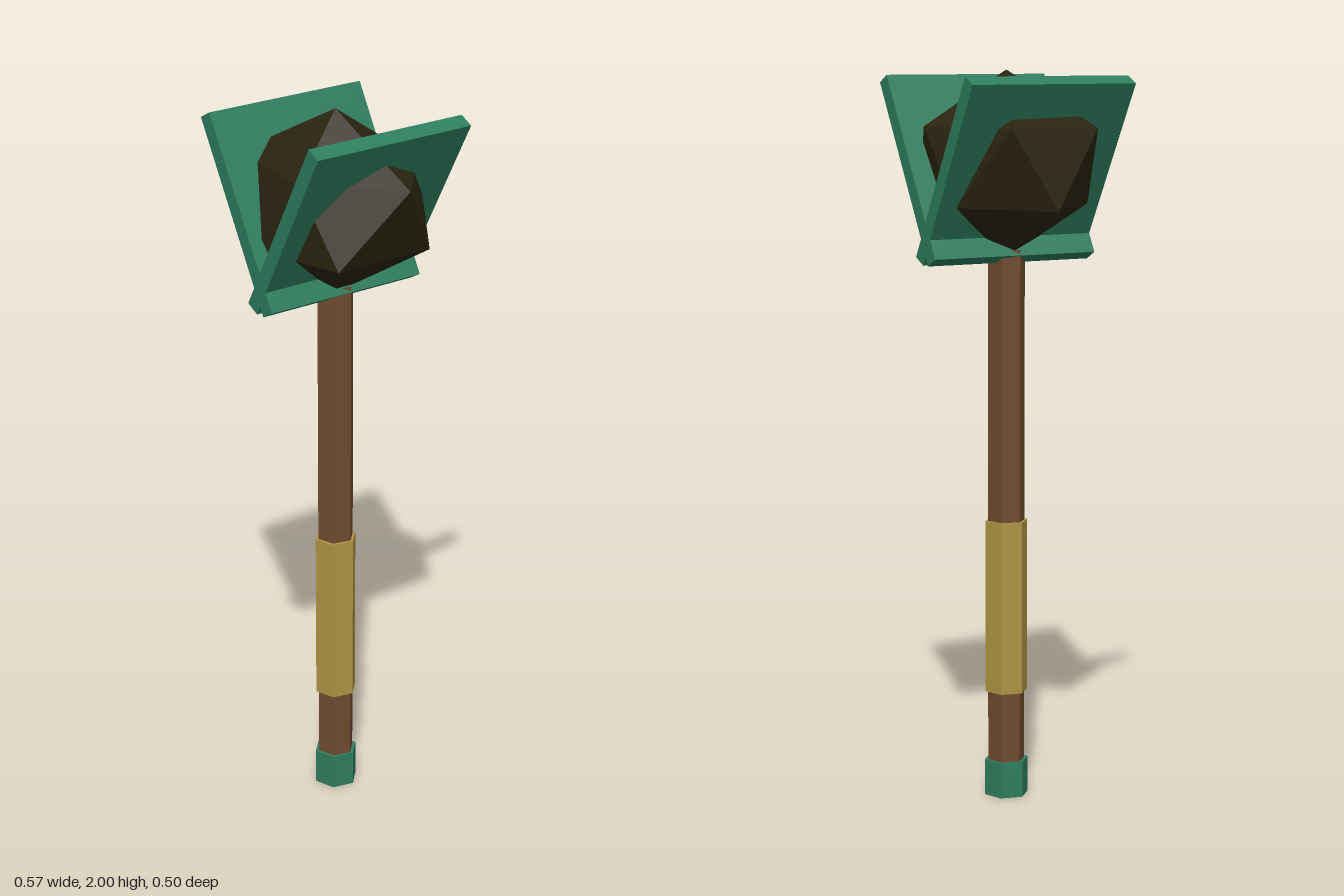
import * as THREE from 'three';

const AXIS = -0.021; // x of the shaft

function material(name, color) {
  const m = new THREE.MeshStandardMaterial({ color, flatShading: true });
  m.name = name;
  return m;
}

// Rough stone: an irregular icosahedron made of two poles and two rings of five
function stoneGeometry() {
  const top = [-0.02, 2.0, 0];
  const bottom = [-0.02, 1.495, 0];
  const upper = [[0.286, 1.85, 0], [0.07, 1.85, 0.192], [-0.272, 1.85, 0.13],
    [-0.255, 1.85, -0.123], [0.07, 1.85, -0.203]];
  const lower = [[0.19, 1.64, 0.155], [-0.09, 1.64, 0.215], [-0.287, 1.635, 0],
    [-0.09, 1.64, -0.197], [0.188, 1.64, -0.15]];
  const points = [];
  for (let k = 0; k < 5; k++) {
    const n = (k + 1) % 5;
    points.push(top, upper[n], upper[k]);
    points.push(upper[k], upper[n], lower[k]);
    points.push(lower[k], upper[n], lower[n]);
    points.push(bottom, lower[k], lower[n]);
  }
  const geometry = new THREE.BufferGeometry();
  geometry.setAttribute('position', new THREE.Float32BufferAttribute(points.flat(), 3));
  geometry.computeVertexNormals();
  return geometry;
}

export function createModel() {
  const model = new THREE.Group();
  model.name = 'mace';
  const wood = material('brown wood', 0x6f4a30);
  const wrap = material('tan wrap', 0xb09444);
  const metal = material('green metal', 0x2e7d5e);
  const stone = material('dark stone', 0x2a2410);

  const add = (name, geometry, mat, x = 0, y = 0) => {
    const mesh = new THREE.Mesh(geometry, mat);
    mesh.name = name;
    mesh.position.set(x, y, 0);
    model.add(mesh);
    return mesh;
  };

  // Hexagonal parts stacked along the shaft: name, radius, bottom, top
  const rods = [
    ['shaft', 0.052, 0.02, 1.52, wood],
    ['grip', 0.06, 0.295, 0.775, wrap],
    ['pommel', 0.062, 0, 0.1, metal],
  ];
  for (const [name, radius, y0, y1, mat] of rods) {
    const hex = new THREE.CylinderGeometry(radius, radius, y1 - y0, 6, 1, false, Math.PI / 4);
    add(name, hex, mat, AXIS, (y0 + y1) / 2);
  }

  // Stone head
  add('stoneHead', stoneGeometry(), stone);

  // Two square plates crossing in a V below the stone
  const tilt = THREE.MathUtils.degToRad(28.7);
  for (const side of [-1, 1]) {
    const plate = add(side > 0 ? 'leftPlate' : 'rightPlate',
      new THREE.BoxGeometry(0.043, 0.547, 0.5), metal, AXIS + side * 0.0985, 1.735);
    plate.rotation.z = -side * tilt;
  }
  return model;
}
